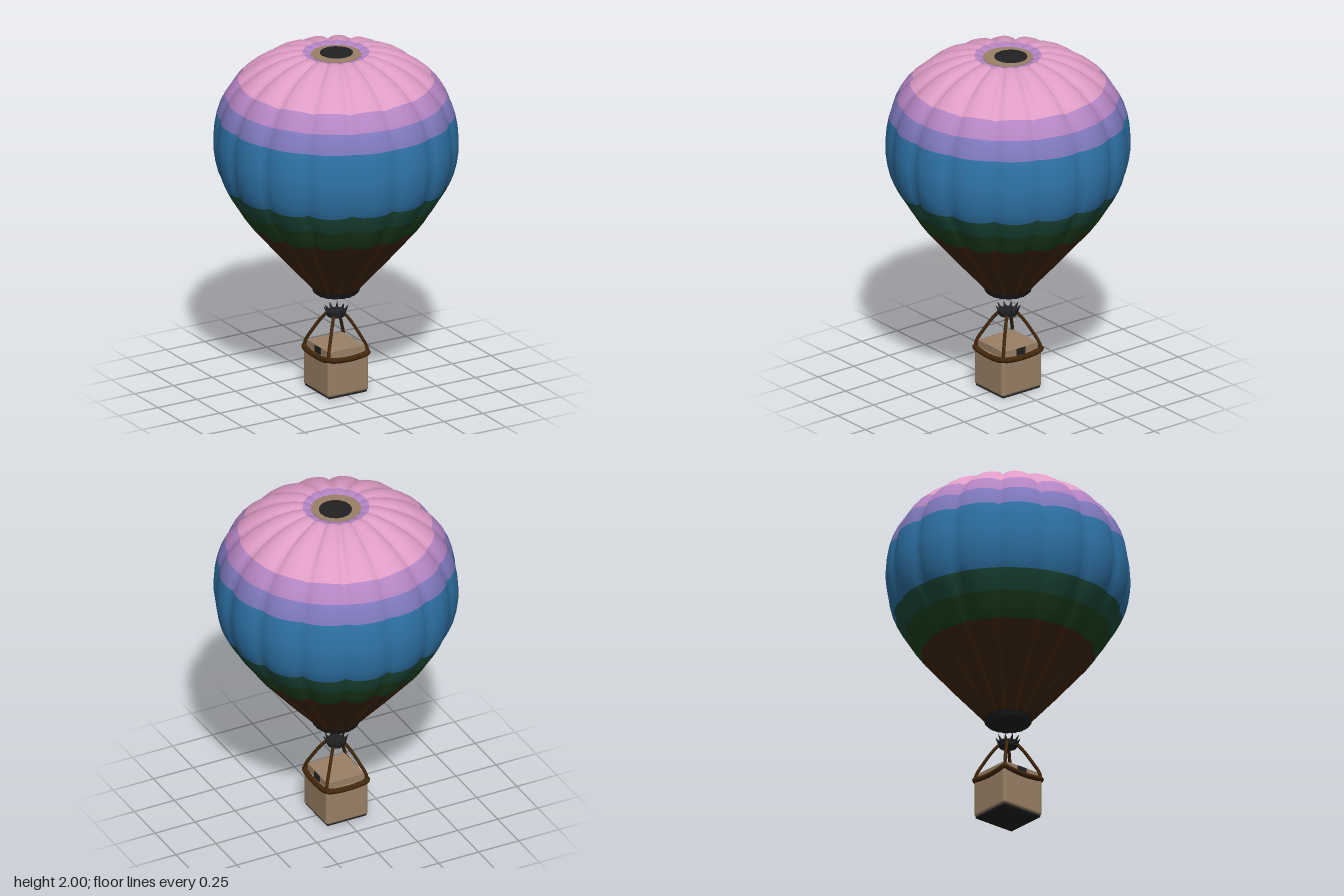
import * as THREE from 'three';
import { RoundedBoxGeometry } from 'three/addons/geometries/RoundedBoxGeometry.js';

const material = (name, color, side = THREE.FrontSide) => {
  const m = new THREE.MeshStandardMaterial({ color, side });
  m.name = name;
  return m;
};

// Envelope bands from crown to throat: [profile points (radius, y)] per colour
const BANDS = [
  ['lilac', [[0.13, 1.98], [0.155, 1.99], [0.185, 1.998]]],
  ['pink', [[0.185, 1.998], [0.24, 1.995], [0.33, 1.972], [0.41, 1.935], [0.48, 1.89], [0.545, 1.835]]],
  ['lilac', [[0.545, 1.835], [0.585, 1.79], [0.618, 1.74]]],
  ['periwinkle', [[0.618, 1.74], [0.645, 1.685], [0.662, 1.63]]],
  ['blue', [[0.662, 1.63], [0.675, 1.56], [0.681, 1.48], [0.68, 1.42], [0.67, 1.35], [0.655, 1.29], [0.634, 1.24]]],
  ['teal', [[0.634, 1.24], [0.605, 1.185], [0.57, 1.13]]],
  ['green', [[0.57, 1.13], [0.53, 1.065], [0.482, 1.0]]],
  ['brown', [[0.482, 1.0], [0.4, 0.905], [0.31, 0.8], [0.22, 0.7], [0.135, 0.605]]],
  ['black', [[0.135, 0.605], [0.13, 0.585], [0.116, 0.572]]],
];
const GORES = 16, SEG = GORES * 8;

function envelopeGeometry() {
  // join the bands into one profile so that normals flow across colours
  const rows = [], spans = [];
  for (const [, pts] of BANDS) {
    const start = Math.max(0, rows.length - 1);
    rows.push(...(rows.length ? pts.slice(1) : pts));
    spans.push([start, rows.length - 1]);
  }
  const pos = [], index = [];
  rows.forEach(([r, y], i) => {
    const [r0, y0] = rows[Math.max(0, i - 1)];
    const [r1, y1] = rows[Math.min(rows.length - 1, i + 1)];
    const len = Math.hypot(r1 - r0, y1 - y0);
    const nr = (y0 - y1) / len, ny = (r1 - r0) / len;
    // seams are deep on the shoulder and fade toward crown and throat
    const depth = Math.min(0.024, Math.max(0, r - 0.13) * 0.13 + 0.003);
    for (let j = 0; j < SEG; j++) {
      const a = j / SEG * Math.PI * 2;
      const d = depth * (1 - Math.pow(Math.abs(Math.sin(a * GORES / 2)), 0.6));
      const rr = r - nr * d;
      pos.push(rr * Math.sin(a), y - ny * d, rr * Math.cos(a));
    }
  });
  const geo = new THREE.BufferGeometry();
  spans.forEach(([s, e], band) => {
    const first = index.length;
    for (let i = s; i < e; i++) {
      for (let j = 0; j < SEG; j++) {
        const k = (j + 1) % SEG;
        const a = i * SEG + j, b = i * SEG + k, c = a + SEG, d = b + SEG;
        index.push(a, c, b, b, c, d);
      }
    }
    geo.addGroup(first, index.length - first, band);
  });
  geo.setAttribute('position', new THREE.Float32BufferAttribute(pos, 3));
  geo.setIndex(index);
  geo.computeVertexNormals();
  return geo;
}

export function createModel() {
  const D = THREE.DoubleSide;
  const mats = {
    pink: material('pink', 0xde9cc4, D),
    lilac: material('lilac', 0xb384c2, D),
    periwinkle: material('periwinkle', 0x8079bd, D),
    blue: material('blue', 0x2f74a8, D),
    teal: material('teal', 0x20503f, D),
    green: material('green', 0x204520, D),
    brown: material('brown', 0x42270c, D),
    black: material('black', 0x212224, D),
    tan: material('tan', 0x9a8166),
  };
  const model = new THREE.Group();
  model.name = 'hotAirBalloon';
  const add = (name, geo, mat, x = 0, y = 0, z = 0, parent = model) => {
    const mesh = new THREE.Mesh(geo, mat);
    mesh.name = name;
    mesh.position.set(x, y, z);
    parent.add(mesh);
    return mesh;
  };

  // Envelope with its crown vent and throat
  add('envelope', envelopeGeometry(), BANDS.map(([c]) => mats[c]));
  add('crownPanel', new THREE.CylinderGeometry(0.14, 0.14, 0.008, 16), mats.tan, 0, 1.981, 0);
  add('crownVent', new THREE.CylinderGeometry(0.092, 0.092, 0.008, 16), mats.black, 0.01, 1.985, -0.012);
  add('throatLining', new THREE.CylinderGeometry(0.122, 0.122, 0.006, 32), mats.black, 0, 0.582, 0);

  // Burner: a shallow bowl crowned with uneven flame points
  const burner = new THREE.Group();
  burner.name = 'burner';
  model.add(burner);
  add('burnerBowl', new THREE.CylinderGeometry(0.058, 0.05, 0.028, 16), mats.black, 0, 0.448, 0, burner);
  for (let i = 0; i < 10; i++) {
    const a = i / 10 * Math.PI * 2;
    const tip = add('burnerPoint', new THREE.ConeGeometry(0.014, 0.045 + 0.008 * (i % 3), 5), mats.black,
      Math.sin(a) * 0.056, 0.47, Math.cos(a) * 0.056, burner);
    tip.rotation.set(Math.cos(a) * 0.6, 0, -Math.sin(a) * 0.6);
  }

  // Basket: body, raised upper section, dark base
  const basket = new THREE.Group();
  basket.name = 'basket';
  model.add(basket);
  add('basketBody', new RoundedBoxGeometry(0.264, 0.225, 0.28, 3, 0.018), mats.tan, 0, 0.1215, 0, basket);
  add('basketTop', new THREE.BoxGeometry(0.232, 0.06, 0.244), mats.tan, 0, 0.244, 0, basket);
  add('basketBase', new RoundedBoxGeometry(0.25, 0.018, 0.266, 2, 0.008), mats.black, 0, 0.009, 0, basket);
  for (const s of [-1, 1]) {
    add('sidePatch', new THREE.BoxGeometry(0.008, 0.044, 0.06), mats.black, s * 0.117, 0.25, 0, basket);
  }

  // Padded rim, sagging between its corners
  const rimPoints = [];
  for (const [sx, sz] of [[1, 1], [1, -1], [-1, -1], [-1, 1]]) {
    const corner = [[sx * 0.105, 0.229, sz * 0.138], [sx * 0.127, 0.236, sz * 0.133], [sx * 0.131, 0.229, sz * 0.11]];
    if (sx * sz < 0) corner.reverse();
    rimPoints.push(...corner, sx * sz > 0 ? [sx * 0.132, 0.22, 0] : [0, 0.22, sz * 0.139]);
  }
  const rimCurve = new THREE.CatmullRomCurve3(rimPoints.map(p => new THREE.Vector3(...p)), true, 'centripetal');
  add('basketRim', new THREE.TubeGeometry(rimCurve, 96, 0.016, 10, true), mats.brown, 0, 0, 0, basket);

  // Four bowed ropes from the corners to the burner
  for (const sx of [-1, 1]) {
    for (const sz of [-1, 1]) {
      const rope = new THREE.CatmullRomCurve3([
        [0.127, 0.23, 0.132], [0.122, 0.27, 0.126], [0.095, 0.335, 0.099], [0.062, 0.405, 0.064], [0.038, 0.446, 0.038],
      ].map(([x, y, z]) => new THREE.Vector3(sx * x, y, sz * z)));
      add('rope', new THREE.TubeGeometry(rope, 20, 0.0095, 8), mats.brown);
    }
  }
  return model;
}
